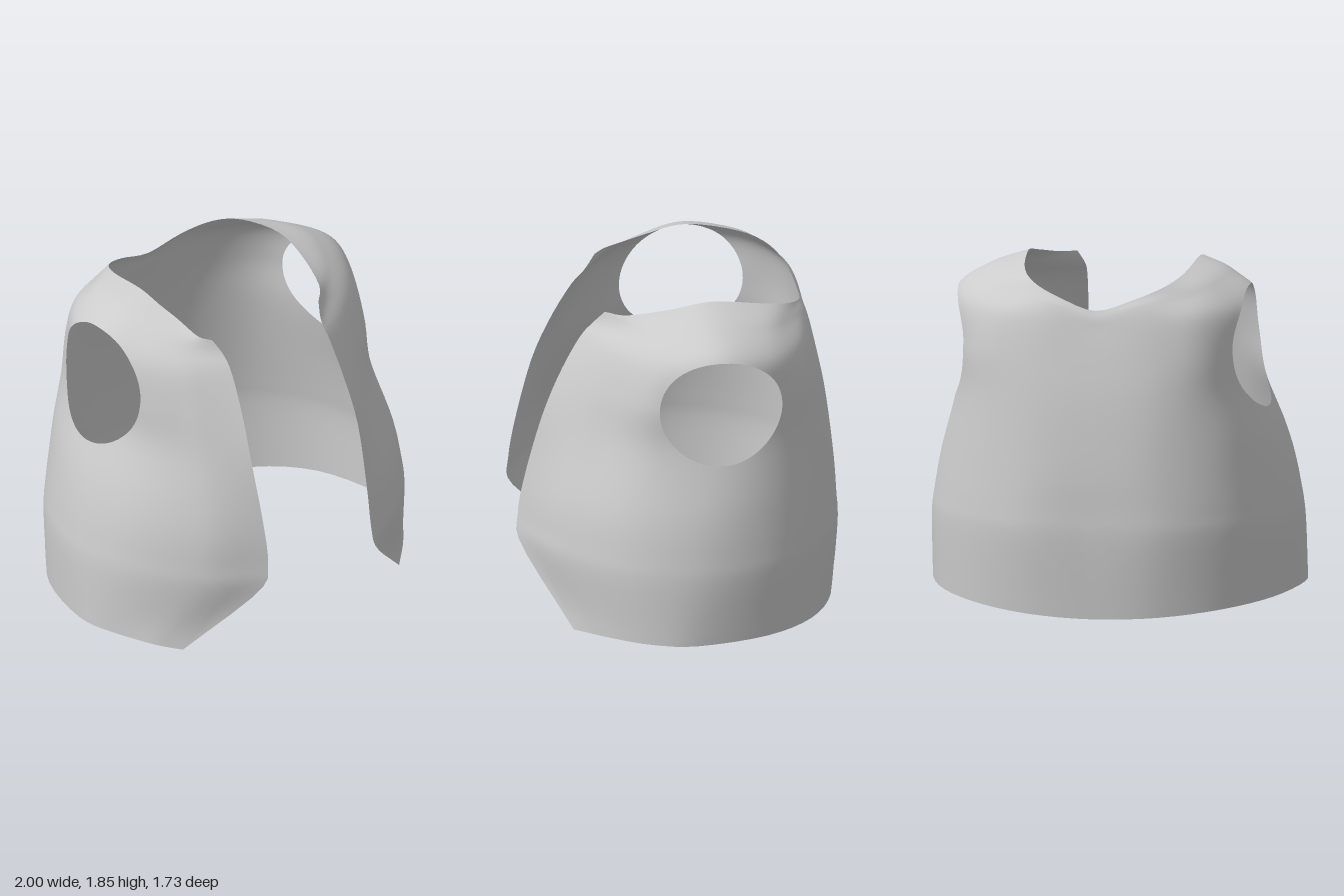
import * as THREE from 'three';
import { mergeVertices, mergeGeometries } from 'three/addons/utils/BufferGeometryUtils.js';

// Cross-sections of one half, each running from centre back to the front opening.
const ring = (...p) => p.map((q) => new THREE.Vector3(...q));
const level = (y, ...p) => p.map(([x, z]) => new THREE.Vector3(x, y, z));

const hem = ring([0, 0.005, -0.83], [0.36, 0.02, -0.8], [0.68, 0.05, -0.65], [0.9, 0.075, -0.38],
  [1, 0.09, 0], [0.96, 0.095, 0.24], [0.84, 0.09, 0.44], [0.67, 0.07, 0.62]);
const hip = level(0.42, [0, -0.855], [0.38, -0.83], [0.7, -0.66], [0.91, -0.38],
  [0.995, -0.01], [0.91, 0.34], [0.66, 0.64], [0.34, 0.85]);
const waist = level(0.58, [0, -0.85], [0.375, -0.825], [0.69, -0.66], [0.895, -0.38],
  [0.975, -0.02], [0.89, 0.34], [0.63, 0.65], [0.29, 0.865]);
const ribs = level(0.8, [0, -0.84], [0.36, -0.81], [0.67, -0.65], [0.86, -0.38],
  [0.93, -0.04], [0.85, 0.32], [0.6, 0.62], [0.29, 0.83]);
const underarm = level(1.15, [0, -0.8], [0.36, -0.77], [0.64, -0.63], [0.79, -0.4],
  [0.83, -0.1], [0.77, 0.23], [0.56, 0.5], [0.3, 0.74]);
const chest = level(1.4, [0, -0.75], [0.36, -0.73], [0.63, -0.62], [0.78, -0.42],
  [0.82, -0.15], [0.77, 0.18], [0.55, 0.42], [0.285, 0.64]);
const shoulderTip = ring([0, 1.54, -0.715], [0.3, 1.58, -0.7], [0.56, 1.6, -0.61], [0.76, 1.62, -0.42],
  [0.84, 1.65, -0.15], [0.74, 1.62, 0.12], [0.52, 1.6, 0.35], [0.27, 1.6, 0.53]);
const shoulderTop = ring([0, 1.6, -0.7], [0.26, 1.67, -0.67], [0.46, 1.71, -0.56], [0.6, 1.75, -0.41],
  [0.67, 1.78, -0.15], [0.6, 1.75, 0.08], [0.46, 1.71, 0.28], [0.27, 1.68, 0.46]);
const neck = ring([0, 1.64, -0.68], [0.2, 1.7, -0.65], [0.35, 1.76, -0.57], [0.43, 1.81, -0.42],
  [0.46, 1.855, -0.15], [0.45, 1.82, 0.06], [0.39, 1.77, 0.29], [0.3, 1.755, 0.4]);
const rings = [hem, hip, waist, ribs, underarm, chest, shoulderTip, shoulderTop, neck];
const U = 7, V = rings.length - 1;

// Smooth curve through points; a mirrored start keeps the centre back continuous.
function curveAt(pts, at, mirrorStart) {
  const t = THREE.MathUtils.clamp(at, 0, pts.length - 1);
  const i = Math.min(Math.floor(t), pts.length - 2), f = t - i, a = pts[i], b = pts[i + 1];
  const extend = (p, q) => p.clone().multiplyScalar(2).sub(q);
  const before = i > 0 ? pts[i - 1] : mirrorStart ? new THREE.Vector3(-b.x, b.y, b.z) : extend(a, b);
  const after = pts[i + 2] || extend(b, a);
  const mix = (k) => {
    const m0 = (b[k] - before[k]) / 2, m1 = (after[k] - a[k]) / 2, d = b[k] - a[k];
    return a[k] + f * (m0 + f * (3 * d - 2 * m0 - m1 + f * (m0 + m1 - 2 * d)));
  };
  return new THREE.Vector3(mix('x'), mix('y'), mix('z'));
}

// Point on the cloth; the right half is cut slightly narrower.
function cloth(u, v, side) {
  const p = curveAt(rings.map((r) => curveAt(r, u, true)), v, false);
  if (side < 0) {
    const front = THREE.MathUtils.smoothstep(u, 5, 7);
    const arm = THREE.MathUtils.smoothstep(p.y, 0.9, 1.4) * THREE.MathUtils.smoothstep(p.x, 0.46, 0.8);
    p.x += 0.08 * front - 0.05 * arm;
    p.z -= 0.045 * front;
  }
  return p;
}

// One half: a mesh of rays running from the armhole rim to the outer edges.
function half(side) {
  const cu = 4, cv = 5, perEdge = 28, radial = 22;
  const hole = side > 0 ? { y: 1.37, ry: 0.3 } : { y: 1.39, ry: 0.325 };
  const corners = [[0, 0], [U, 0], [U, V], [0, V]];
  const pos = [], idx = [], n = perEdge * 4;
  for (let k = 0; k < n; k++) {
    const e = Math.floor(k / perEdge), f = (k % perEdge) / perEdge;
    const [a, b] = [corners[e], corners[(e + 1) % 4]];
    const ou = a[0] + (b[0] - a[0]) * f, ov = a[1] + (b[1] - a[1]) * f;
    const at = (t) => cloth(cu + (ou - cu) * t, cv + (ov - cv) * t, side);
    // Find where this ray leaves the elliptical armhole.
    let lo = 0, hi = 0.95;
    for (let s = 0; s < 22; s++) {
      const t = (lo + hi) / 2, p = at(t);
      if (Math.hypot((p.z + 0.155) / 0.33, (p.y - hole.y) / hole.ry) < 1) lo = t; else hi = t;
    }
    for (let j = 0; j <= radial; j++) {
      const p = at(lo + (1 - lo) * j / radial);
      pos.push(side * p.x, p.y, p.z);
    }
  }
  const w = radial + 1;
  for (let k = 0; k < n; k++) {
    for (let j = 0; j < radial; j++) {
      const a = k * w + j, b = a + 1, d = ((k + 1) % n) * w + j, c = d + 1;
      if (side > 0) idx.push(a, c, b, a, d, c);
      else idx.push(a, b, c, a, c, d);
    }
  }
  const g = new THREE.BufferGeometry();
  g.setAttribute('position', new THREE.Float32BufferAttribute(pos, 3));
  g.setIndex(idx);
  return g;
}

export function createModel() {
  const group = new THREE.Group();
  group.name = 'vest';
  // Both halves are welded along the centre back.
  const geometry = mergeVertices(mergeGeometries([half(1), half(-1)]), 1e-4);
  geometry.computeVertexNormals();
  const body = new THREE.Mesh(geometry,
    new THREE.MeshStandardMaterial({ color: 0xcccccc, side: THREE.DoubleSide }));
  body.name = 'vestBody';
  group.add(body);
  return group;
}
